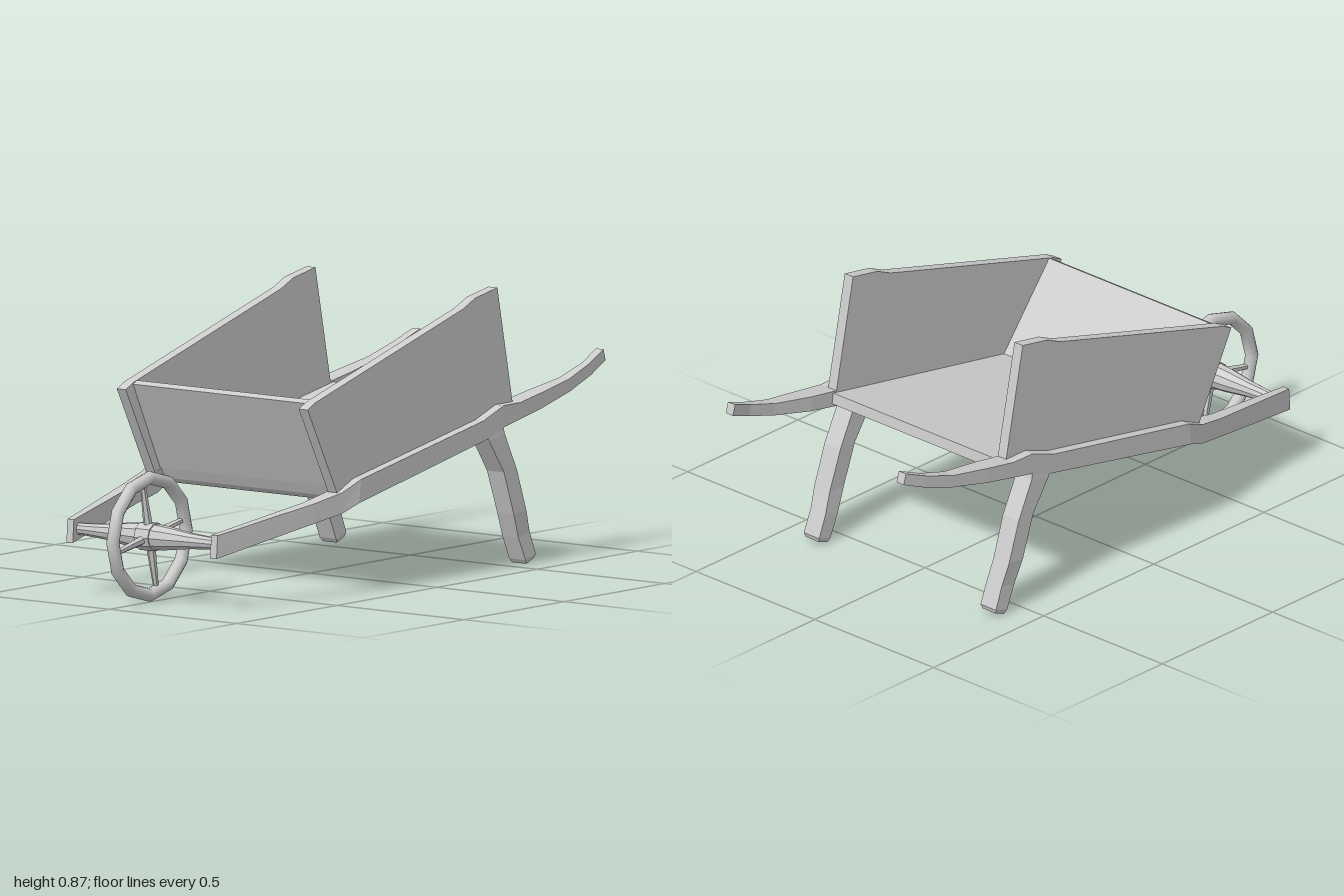
import * as THREE from 'three';

const grey = new THREE.MeshStandardMaterial({ color: 0xcccccc, flatShading: true });
const smooth = new THREE.MeshStandardMaterial({ color: 0xcccccc });

function add(parent, name, geometry, material = grey) {
  const mesh = new THREE.Mesh(geometry, material);
  mesh.name = name;
  parent.add(mesh);
  return mesh;
}

// Beam with a four-cornered section; each section is
// [inner x, outer x, z and y of the low/front edge, z and y of the high/rear edge].
function beam(sections, side) {
  const rings = sections.map(([xi, xo, za, ya, zb, yb]) => [
    [xi * side, ya, za], [xo * side, ya, za], [xo * side, yb, zb], [xi * side, yb, zb],
  ]);
  const pos = [];
  const quad = (a, b, c, d) => {
    const order = side > 0 ? [a, b, c, a, c, d] : [a, c, b, a, d, c];
    order.forEach((p) => pos.push(...p));
  };
  for (let k = 0; k < rings.length - 1; k++) {
    for (let i = 0; i < 4; i++) {
      const j = (i + 1) % 4;
      quad(rings[k][i], rings[k + 1][i], rings[k + 1][j], rings[k][j]);
    }
  }
  quad(...rings[0]);
  quad(...[...rings[rings.length - 1]].reverse());
  const g = new THREE.BufferGeometry();
  g.setAttribute('position', new THREE.Float32BufferAttribute(pos, 3));
  g.computeVertexNormals();
  return g;
}

// Side profile of [z, y] points, extruded across x from x0 to x1.
function slab(profile, x0, x1) {
  const shape = new THREE.Shape(profile.map(([z, y]) => new THREE.Vector2(-z, y)));
  const g = new THREE.ExtrudeGeometry(shape, { depth: x1 - x0, bevelEnabled: false });
  return g.rotateY(Math.PI / 2).translate(x0, 0, 0);
}

export function createModel() {
  const model = new THREE.Group();
  model.name = 'wheelbarrow';

  // Floor and sloping front board in one profile
  add(model, 'tray', slab([
    [0.45, 0.61], [0.43, 0.62], [0.225, 0.365], [-0.55, 0.505], [-0.555, 0.47],
    [-0.39, 0.414], [0.24, 0.283], [0.275, 0.286], [0.297, 0.302], [0.315, 0.335],
  ], -0.34, 0.34));

  const panel = [
    [0.487, 0.597], [0.45, 0.615], [-0.29, 0.825], [-0.35, 0.852], [-0.46, 0.872],
    [-0.537, 0.5], [-0.45, 0.49], [-0.35, 0.455], [0.26, 0.34], [0.337, 0.315],
  ];
  // Rail from the axle end back to the handle tip
  const rail = [
    [0.27, 0.295, 0.84, 0.165, 0.835, 0.237],
    [0.328, 0.372, 0.45, 0.238, 0.45, 0.3],
    [0.335, 0.392, 0.337, 0.258, 0.337, 0.323],
    [0.34, 0.407, 0.27, 0.285, 0.26, 0.358],
    [0.34, 0.408, -0.37, 0.412, -0.35, 0.472],
    [0.34, 0.408, -0.45, 0.44, -0.45, 0.508],
    [0.34, 0.406, -0.54, 0.457, -0.535, 0.508],
    [0.341, 0.403, -0.65, 0.478, -0.645, 0.526],
    [0.354, 0.395, -0.8, 0.513, -0.795, 0.552],
    [0.357, 0.386, -0.915, 0.55, -0.905, 0.586],
    [0.345, 0.375, -1.0, 0.585, -0.99, 0.62],
  ];
  const leg = [
    [0.342, 0.406, -0.365, 0.43, -0.445, 0.46],
    [0.342, 0.408, -0.378, 0.405, -0.455, 0.42],
    [0.342, 0.409, -0.45, 0.3, -0.515, 0.3],
    [0.345, 0.41, -0.497, 0.165, -0.56, 0.17],
    [0.34, 0.403, -0.53, 0.085, -0.585, 0.1],
    [0.34, 0.405, -0.563, 0.013, -0.614, 0.028],
    [0.345, 0.4, -0.573, 0, -0.61, 0.014],
  ];
  for (const [label, s] of [['left', 1], ['right', -1]]) {
    const x = s > 0 ? [0.34, 0.375] : [-0.375, -0.34];
    add(model, `${label}SidePanel`, slab(panel, ...x));
    add(model, `${label}Rail`, beam(rail, s));
    add(model, `${label}Leg`, beam(leg, s));
  }

  // Wheel and axle
  const wheel = new THREE.Group();
  wheel.name = 'wheel';
  wheel.position.set(0, 0.205, 0.8);
  model.add(wheel);

  const axleProfile = [
    [0, -0.285], [0.019, -0.285], [0.02, -0.24], [0.026, -0.16], [0.038, -0.07],
    [0.043, 0], [0.038, 0.07], [0.026, 0.16], [0.02, 0.24], [0.019, 0.285], [0, 0.285],
  ].map(([r, y]) => new THREE.Vector2(r, y));
  add(wheel, 'axle', new THREE.LatheGeometry(axleProfile, 10).rotateZ(Math.PI / 2));
  add(wheel, 'hub', new THREE.CylinderGeometry(0.045, 0.045, 0.055, 10).rotateZ(Math.PI / 2));
  add(wheel, 'rim', new THREE.TorusGeometry(0.183, 0.021, 10, 12).rotateY(Math.PI / 2), smooth);

  // Four slender spokes, slightly turned
  for (let i = 0; i < 4; i++) {
    const spoke = new THREE.CylinderGeometry(0.008, 0.015, 0.15, 6).translate(0, 0.105, 0);
    add(wheel, 'spoke', spoke.rotateX(0.2 + (i * Math.PI) / 2));
  }
  return model;
}
